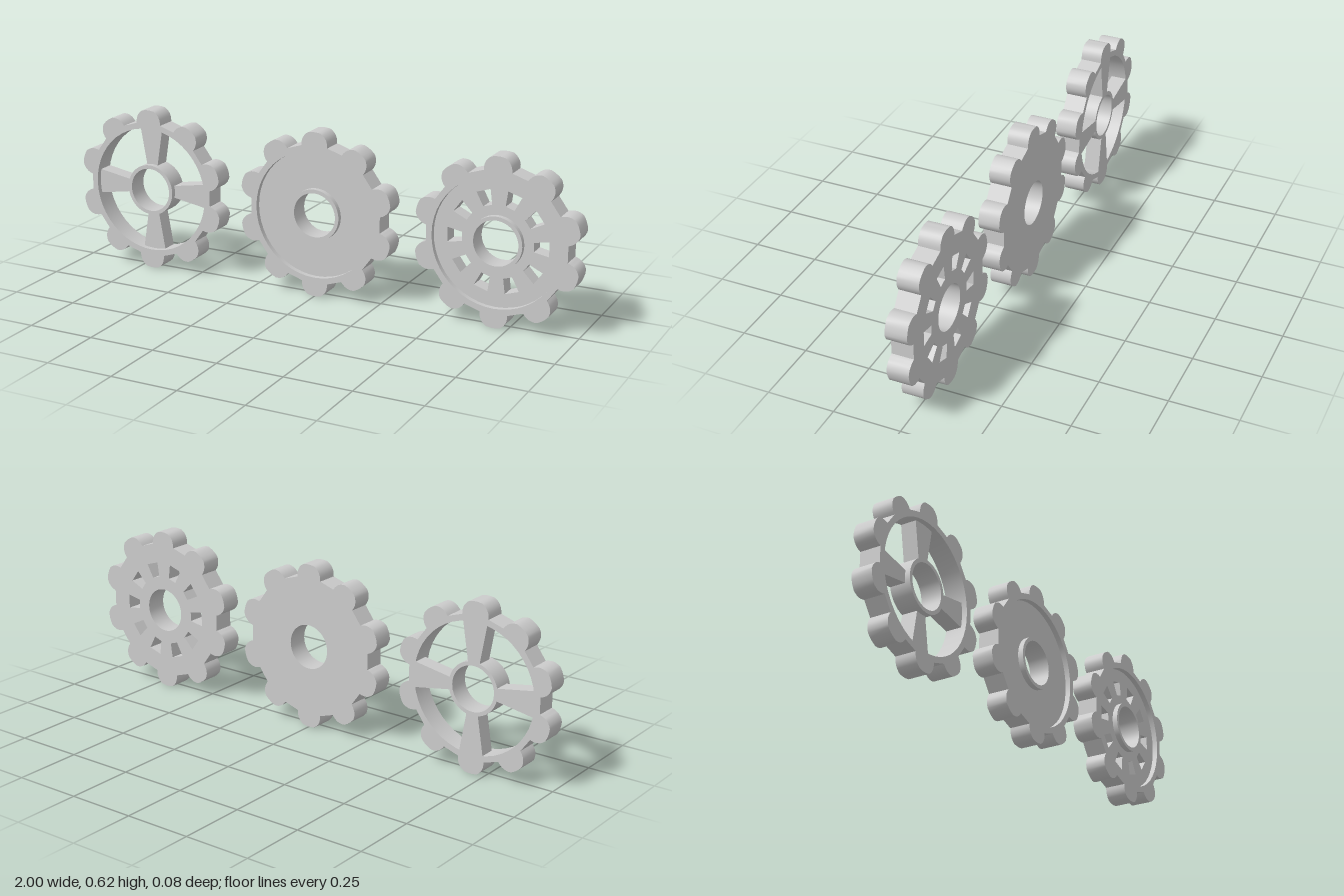
import * as THREE from 'three';
import { toCreasedNormals } from 'three/addons/utils/BufferGeometryUtils.js';

const TEETH = 10, BACK = -0.04, FRONT = 0.04, WEB_FRONT = 0.02;
const BORE = 0.083, HUB = 0.097, RIM = 0.239;
const material = new THREE.MeshStandardMaterial({ color: 0xcccccc });

function circlePath(r, Type = THREE.Path) {
  return new Type().absarc(0, 0, r, 0, Math.PI * 2, false);
}

// Four-sided wedge pointing outward at the given angle
function wedge(angle, r0, w0, r1, w1, Type = THREE.Shape) {
  const o = new THREE.Vector2();
  return new Type([[r0, -w0], [r1, -w1], [r1, w1], [r0, w0]]
    .map(([x, y]) => new THREE.Vector2(x, y).rotateAround(o, angle)));
}

function slab(name, shape, z0, z1) {
  const geometry = new THREE.ExtrudeGeometry(shape, { depth: z1 - z0, bevelEnabled: false, curveSegments: 24 });
  geometry.translate(0, 0, z0);
  const mesh = new THREE.Mesh(toCreasedNormals(geometry, 0.45), material);
  mesh.name = name;
  return mesh;
}

// Outline of rounded teeth joined by straight root edges
function toothedShape() {
  const v = (x, y) => new THREE.Vector2(x, y), o = v(0, 0);
  const flank = new THREE.QuadraticBezierCurve(v(0.257, -0.0517), v(0.292, -0.053), v(0.308, -0.025)).getPoints(6);
  const half = [...flank, v(0.3108, -0.008)];
  const tooth = [...half, ...half.map(p => v(p.x, -p.y)).reverse()];
  const points = [];
  for (let i = 0; i < TEETH; i++) {
    const a = Math.PI / 2 + i * Math.PI * 2 / TEETH;
    tooth.forEach(p => points.push(p.clone().rotateAround(o, a)));
  }
  return new THREE.Shape(points);
}

// Toothed rim and raised hub shared by every gear
function gear(name, x) {
  const group = new THREE.Group();
  group.name = name;
  group.position.set(x, 0.3115, 0);
  const rim = toothedShape();
  rim.holes.push(circlePath(RIM));
  const hub = circlePath(HUB, THREE.Shape);
  hub.holes.push(circlePath(BORE));
  group.add(slab('toothedRim', rim, BACK, FRONT), slab('hub', hub, BACK, FRONT));
  return group;
}

// Recessed plate between hub and rim
function webShape() {
  const web = circlePath(RIM, THREE.Shape);
  web.holes.push(circlePath(HUB));
  return web;
}

export function createModel() {
  const model = new THREE.Group();
  model.name = 'gearSet';

  // Gear with four flared spokes
  const spoked = gear('spokedGear', -0.699);
  for (let i = 0; i < 4; i++) {
    spoked.add(slab('spoke', wedge(i * Math.PI / 2, 0.094, 0.023, 0.24, 0.048), BACK, WEB_FRONT));
  }

  // Gear with a solid web
  const solid = gear('solidGear', 0);
  solid.add(slab('web', webShape(), BACK, WEB_FRONT));

  // Gear with a ring of tapered windows
  const windowed = gear('windowedGear', 0.699);
  const web = webShape();
  for (let i = 0; i < TEETH; i++) {
    web.holes.push(wedge(i * Math.PI * 2 / TEETH, 0.132, 0.017, 0.187, 0.027, THREE.Path));
  }
  windowed.add(slab('windowedWeb', web, BACK, WEB_FRONT));

  model.add(spoked, solid, windowed);
  return model;
}
